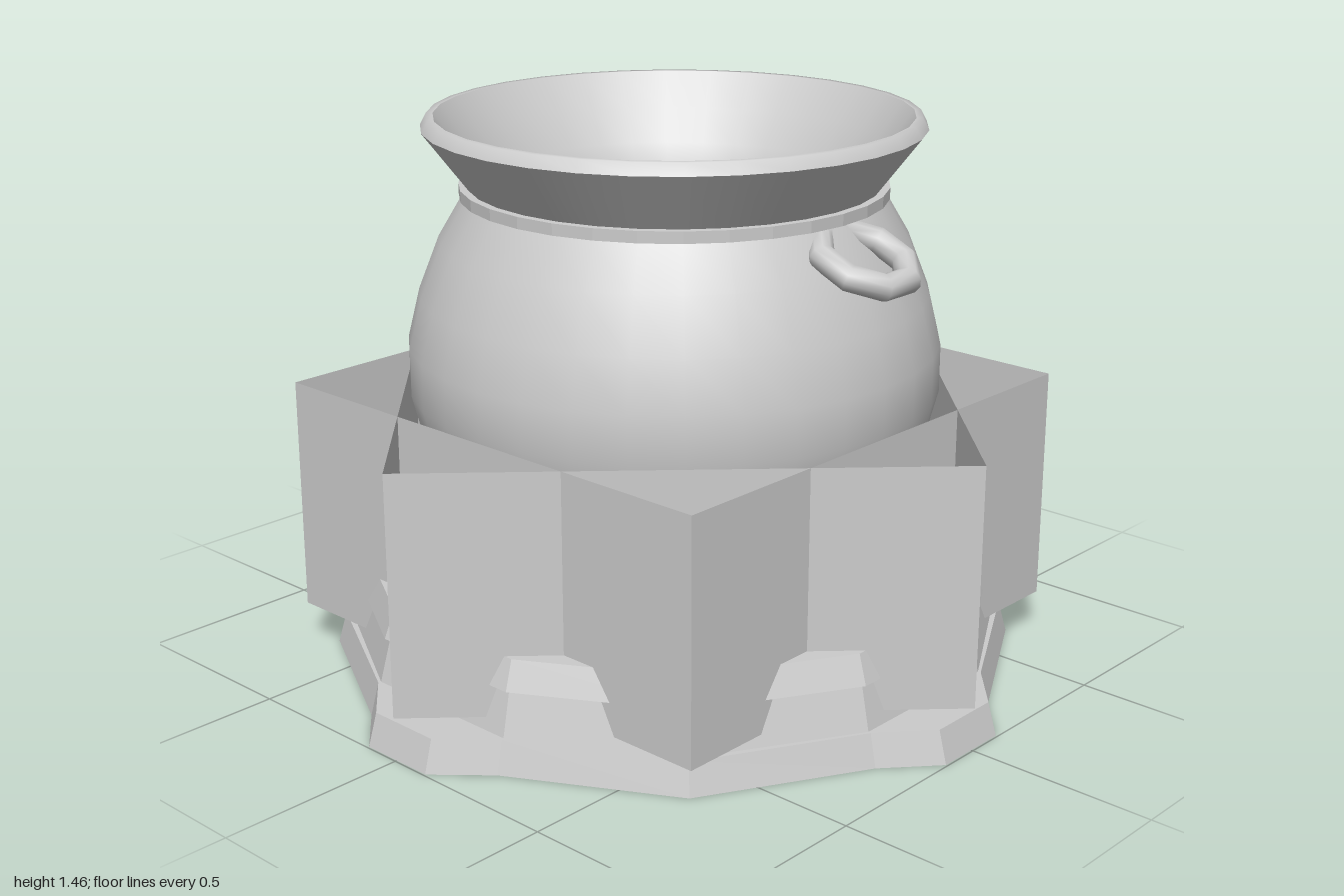
import * as THREE from 'three';

const smooth = new THREE.MeshStandardMaterial({ color: 0xcccccc });
const flat = new THREE.MeshStandardMaterial({ color: 0xcccccc, flatShading: true });
const sheet = new THREE.MeshStandardMaterial({ color: 0xcccccc, flatShading: true, side: THREE.DoubleSide });

function add(parent, name, geometry, material) {
  const mesh = new THREE.Mesh(geometry, material);
  mesh.name = name;
  parent.add(mesh);
  return mesh;
}

// Closed solid between a lower and an upper copy of an outline [x, z]
function taperedSlab(outline, y0, scale0, y1, scale1) {
  const n = outline.length, pos = [], index = [];
  for (const [y, s] of [[y0, scale0], [y1, scale1]]) {
    for (const [x, z] of outline) pos.push(x * s, y, z * s);
  }
  pos.push(0, y0, 0, 0, y1, 0);
  for (let i = 0; i < n; i++) {
    const j = (i + 1) % n;
    index.push(i, n + i, n + j, i, n + j, j);
    index.push(2 * n, i, j, 2 * n + 1, n + j, n + i);
  }
  const g = new THREE.BufferGeometry();
  g.setAttribute('position', new THREE.Float32BufferAttribute(pos, 3));
  g.setIndex(index);
  g.computeVertexNormals();
  return g;
}

const lathe = (points, segments = 32) =>
  new THREE.LatheGeometry(points.map(([r, y]) => new THREE.Vector2(r, y)), segments);

export function createModel() {
  const model = new THREE.Group();
  model.name = 'cauldron';

  // Ground slab: one quarter of the outline turned four times
  const outline = [];
  let quarter = [[0.995, -0.105], [0.995, 0.105], [0.88, 0.235], [0.65, 0.65], [0.235, 0.88]];
  for (let q = 0; q < 4; q++) {
    outline.push(...quarter);
    quarter = quarter.map(([x, z]) => [-z, x]);
  }
  add(model, 'groundSlab', taperedSlab(outline, 0, 1, 0.085, 0.975), flat);

  // Two twelve-sided plinth tiers, the upper one overhanging slightly
  const twelve = [];
  for (let i = 0; i < 12; i++) {
    const a = (i + 0.5) * Math.PI / 6, r = 1 / Math.cos(Math.PI / 12);
    twelve.push([r * Math.cos(a), r * Math.sin(a)]);
  }
  add(model, 'lowerPlinth', taperedSlab(twelve, 0.085, 0.85, 0.2, 0.82), flat);
  add(model, 'upperPlinth', taperedSlab(twelve, 0.2, 0.835, 0.275, 0.808), flat);

  // Four pointed studs on the plinth edge
  for (let i = 0; i < 4; i++) {
    const stud = new THREE.ConeGeometry(0.064, 0.14, 4);
    stud.rotateY(Math.PI / 4);
    stud.translate(0, 0.345, 0.763);
    stud.rotateY(i * Math.PI / 2);
    add(model, 'stud', stud, flat);
  }

  // Two crossed square fire screens making an eight-pointed star
  for (let i = 0; i < 2; i++) {
    const screen = new THREE.CylinderGeometry(1, 1, 0.63, 4, 1, true);
    screen.rotateY(i * Math.PI / 4);
    screen.translate(0, 0.43, 0);
    add(model, 'fireScreen', screen, sheet);
  }

  // Pot: separate lathes keep the edges between them sharp
  const pot = new THREE.Group();
  pot.name = 'pot';
  model.add(pot);
  add(pot, 'potBody', lathe([
    [0, 0.24], [0.25, 0.26], [0.43, 0.33], [0.57, 0.45], [0.66, 0.6], [0.697, 0.745],
    [0.697, 0.87], [0.665, 1.0], [0.61, 1.14], [0.545, 1.25],
  ]), smooth);
  add(pot, 'collar', lathe([[0.53, 1.25], [0.555, 1.25], [0.555, 1.28], [0.53, 1.28]]), flat);
  add(pot, 'flaredRim', lathe([[0.53, 1.275], [0.648, 1.43]]), smooth);
  add(pot, 'lip', lathe([[0.648, 1.43], [0.632, 1.46], [0.615, 1.46]]), smooth);
  add(pot, 'innerWall', lathe([
    [0.615, 1.46], [0.55, 1.37], [0.49, 1.28], [0.455, 1.21], [0.45, 1.15],
  ]), smooth);

  // Gently rippled liquid
  const liquid = new THREE.RingGeometry(0, 0.457, 32, 12);
  liquid.rotateX(-Math.PI / 2);
  const p = liquid.attributes.position;
  for (let i = 0; i < p.count; i++) {
    const x = p.getX(i), z = p.getZ(i);
    p.setY(i, 1.21 + 0.01 * Math.sin(z * 22 + Math.sin(x * 5)) + 0.004 * Math.cos(x * 12));
  }
  liquid.computeVertexNormals();
  add(pot, 'liquid', liquid, smooth);

  // Drooping ring handles on both sides
  for (const side of [1, -1]) {
    const ring = new THREE.TorusGeometry(0.118, 0.034, 10, 8);
    ring.rotateZ(Math.PI / 8);
    ring.rotateX(Math.PI / 2);
    ring.rotateZ(-0.42);
    ring.translate(0.62, 1.18, 0);
    if (side < 0) ring.rotateY(Math.PI);
    add(pot, side > 0 ? 'leftHandle' : 'rightHandle', ring, smooth);
  }

  return model;
}
